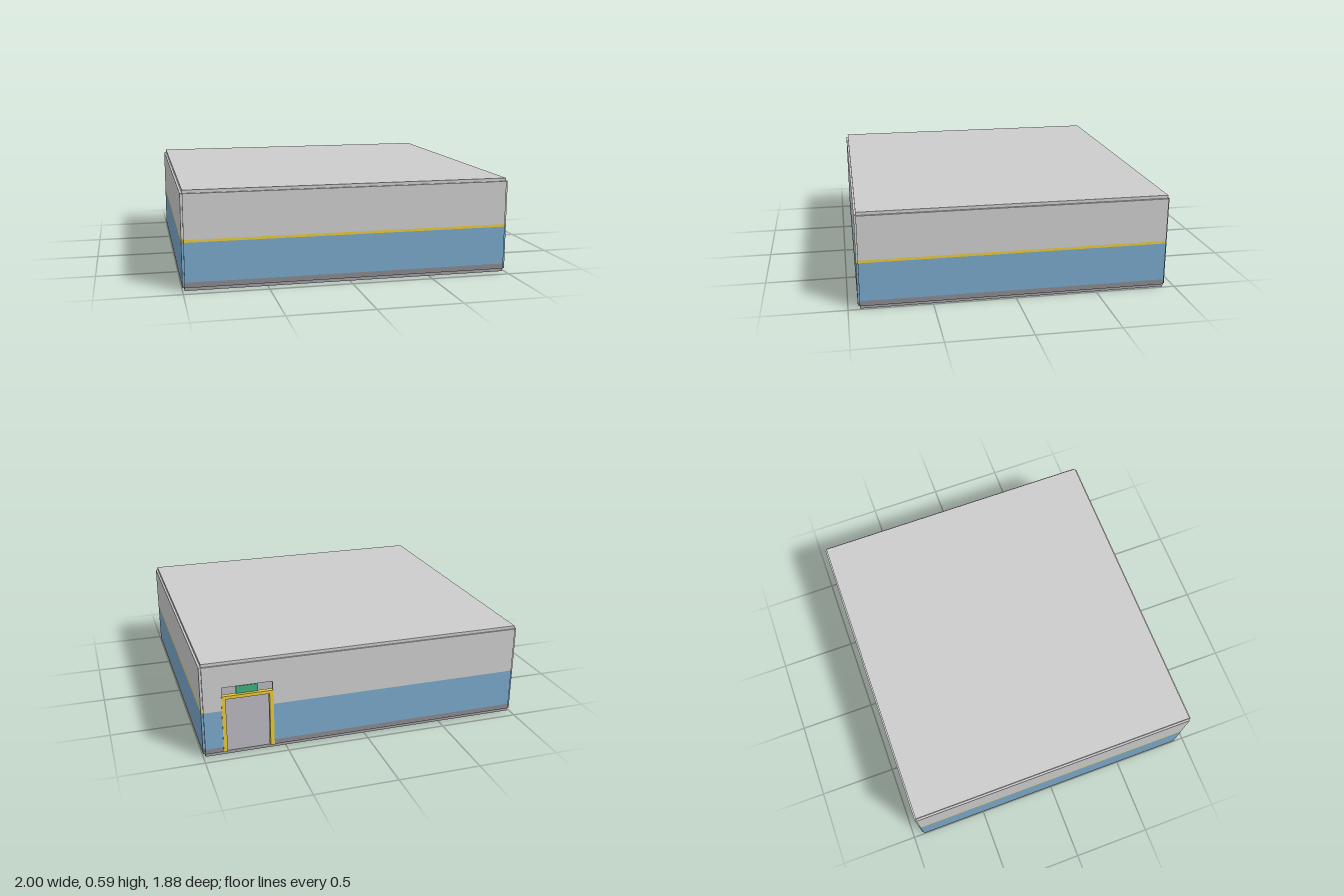
import * as THREE from 'three';

const mat = (color) => new THREE.MeshStandardMaterial({ color });

export function createModel() {
  const room = new THREE.Group();
  room.name = 'room';
  const plaster = mat(0xcccccc), blue = mat(0x78a6c8), yellow = mat(0xe6c83c);
  const skirting = mat(0x88888e), concrete = mat(0x9c9ca2), green = mat(0x3fae7c);

  // Box given by its lower and upper corners
  function box(name, material, x0, x1, y0, y1, z0, z1, parent = room) {
    const mesh = new THREE.Mesh(new THREE.BoxGeometry(x1 - x0, y1 - y0, z1 - z0), material);
    mesh.position.set((x0 + x1) / 2, (y0 + y1) / 2, (z0 + z1) / 2);
    mesh.name = name;
    parent.add(mesh);
  }

  // Floor and ceiling slabs
  box('floor', concrete, -0.987, 0.987, 0, 0.02, -0.929, 0.931);
  box('ceiling', plaster, -0.987, 0.987, 0.573, 0.592, -0.929, 0.931);

  // Painted layers of a wall, from the floor up
  const layers = [
    ['skirting', skirting, 0.02, 0.052],
    ['lowerPaint', blue, 0.052, 0.288],
    ['stripe', yellow, 0.288, 0.304],
    ['upperWall', plaster, 0.304, 0.573],
  ];
  const wall = (name) => {
    const group = new THREE.Group();
    group.name = name;
    room.add(group);
    return group;
  };
  const left = wall('leftWall'), right = wall('rightWall'), front = wall('frontWall');
  for (const [name, material, y0, y1] of layers) {
    box(name, material, 0.98, 1, y0, y1, -0.929, 0.931, left);
    box(name, material, -1, -0.98, y0, y1, -0.929, 0.931, right);
    box(name, material, -0.987, 0.987, y0, y1, 0.922, 0.942, front);
  }

  // Back wall with a doorway and an opening above it; its stripe is only inside
  const back = wall('backWall');
  const doorL = 0.875, doorR = 0.575, doorTop = 0.38, openingTop = 0.435;
  for (const [x0, x1] of [[-0.987, doorR], [doorL, 0.987]]) {
    box('skirting', skirting, x0, x1, 0.02, 0.052, -0.938, -0.918, back);
    box('lowerPaint', blue, x0, x1, 0.052, 0.288, -0.938, -0.918, back);
    box('upperWall', plaster, x0, x1, 0.288, 0.573, -0.938, -0.918, back);
    box('stripe', yellow, x0, x1, 0.288, 0.304, -0.918, -0.916, back);
  }
  box('lintel', plaster, doorR, doorL, openingTop, 0.573, -0.938, -0.918, back);

  // Door frame
  const frame = wall('doorFrame'), w = 0.02;
  box('leftPost', yellow, doorL - w, doorL + 0.004, 0.02, doorTop, -0.942, -0.914, frame);
  box('rightPost', yellow, doorR - 0.004, doorR + w, 0.02, doorTop, -0.942, -0.914, frame);
  box('header', yellow, doorR + w, doorL - w, doorTop - w, doorTop, -0.942, -0.914, frame);

  // Green sign panel above the door
  box('doorSign', green, 0.66, 0.79, 0.382, 0.428, -0.927, -0.915);
  return room;
}
